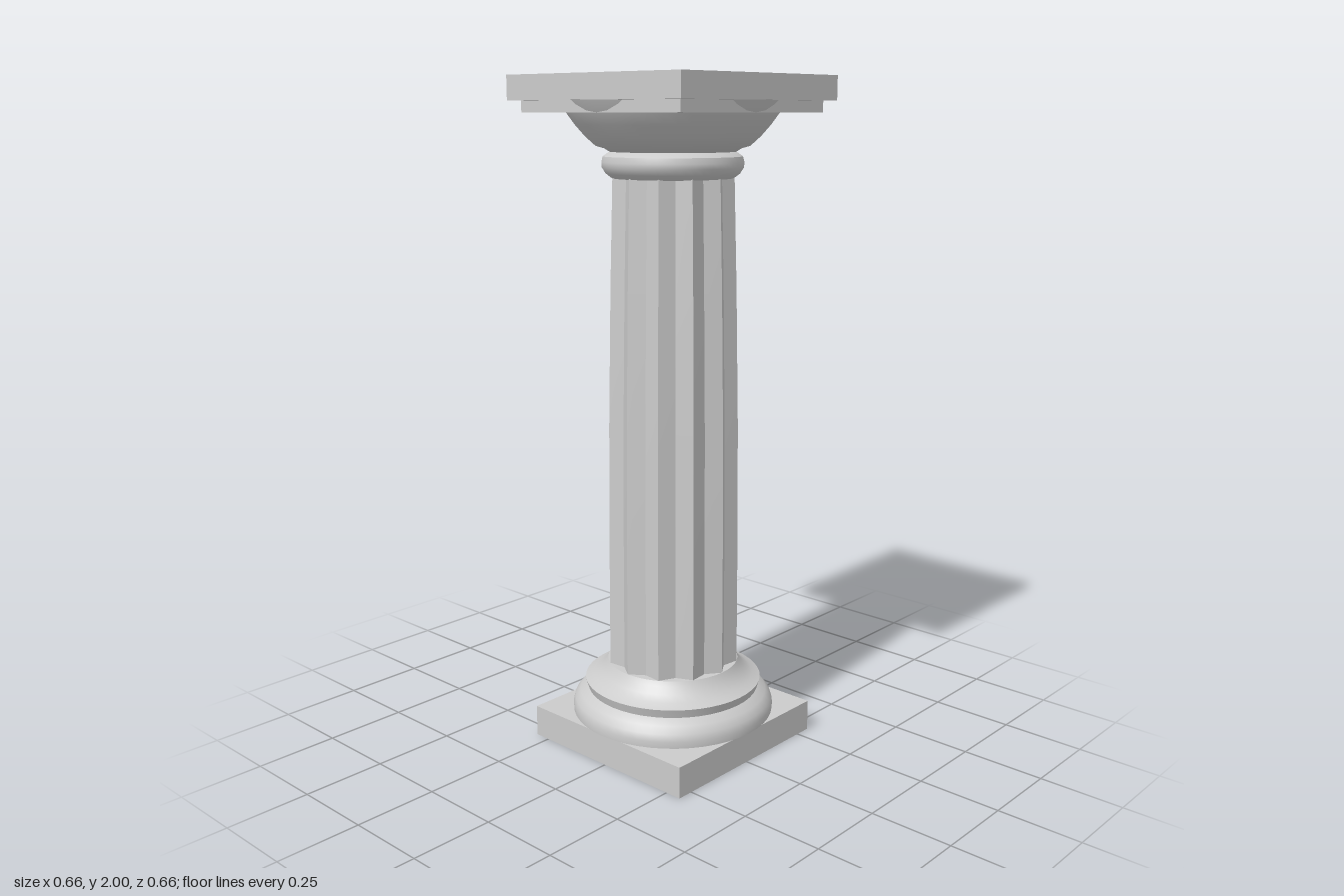
import * as THREE from 'three';
import { toCreasedNormals } from 'three/addons/utils/BufferGeometryUtils.js';

const material = new THREE.MeshStandardMaterial({ color: 0xcccccc });

export function createModel() {
  const column = new THREE.Group();
  column.name = 'column';

  const add = (name, geometry) => {
    const mesh = new THREE.Mesh(geometry, material);
    mesh.name = name;
    column.add(mesh);
  };

  // Square slab given by half width, bottom and top
  const slab = (name, half, y0, y1) => {
    const geometry = new THREE.BoxGeometry(half * 2, y1 - y0, half * 2);
    add(name, geometry.translate(0, (y0 + y1) / 2, 0));
  };

  // Turned moulding; profile runs from bottom to top as [radius, y]
  const turned = (name, profile) => {
    const points = profile.map(([r, y]) => new THREE.Vector2(r, y));
    add(name, toCreasedNormals(new THREE.LatheGeometry(points, 48), 0.65));
  };

  // Base: square plinth, lower roll and upper cove
  slab('plinth', 0.3, 0, 0.095);
  turned('baseMoulding', [
    [0, 0.095], [0.308, 0.095], [0.309, 0.115], [0.303, 0.136], [0.287, 0.155], [0.262, 0.17],
    [0.27, 0.197], [0.245, 0.208], [0.224, 0.224], [0.208, 0.243], [0.2, 0.257], [0, 0.257],
  ]);

  // Shaft: twelve sharp ridges with V-shaped flutes and a gentle taper
  const sides = 24;
  const rings = [[0.25, 0.2], [0.65, 0.199], [1.0, 0.196], [1.4, 0.188], [1.72, 0.179]];
  const positions = [];
  const index = [];
  for (const [y, radius] of rings) {
    for (let i = 0; i < sides; i++) {
      const angle = (i / sides) * Math.PI * 2;
      const r = i % 2 ? radius * 0.87 : radius;
      positions.push(Math.sin(angle) * r, y, Math.cos(angle) * r);
    }
  }
  for (let k = 0; k < rings.length - 1; k++) {
    for (let i = 0; i < sides; i++) {
      const a = k * sides + i;
      const b = k * sides + ((i + 1) % sides);
      index.push(a, b, b + sides, a, b + sides, a + sides);
    }
  }
  const shaft = new THREE.BufferGeometry();
  shaft.setAttribute('position', new THREE.Float32BufferAttribute(positions, 3));
  shaft.setIndex(index);
  add('flutedShaft', toCreasedNormals(shaft, 0.2));

  // Capital: neck ring, flared bowl, stepped square top
  turned('neckRing', [
    [0, 1.715], [0.175, 1.715], [0.192, 1.728], [0.203, 1.745], [0.204, 1.76],
    [0.2, 1.776], [0.18, 1.79], [0, 1.79],
  ]);
  turned('capitalBowl', [
    [0, 1.785], [0.175, 1.785], [0.195, 1.798], [0.22, 1.805], [0.25, 1.832], [0.278, 1.864],
    [0.302, 1.897], [0.318, 1.93], [0, 1.93],
  ]);
  slab('capitalStep', 0.302, 1.897, 1.932);
  slab('topSlab', 0.33, 1.93, 2);

  return column;
}
